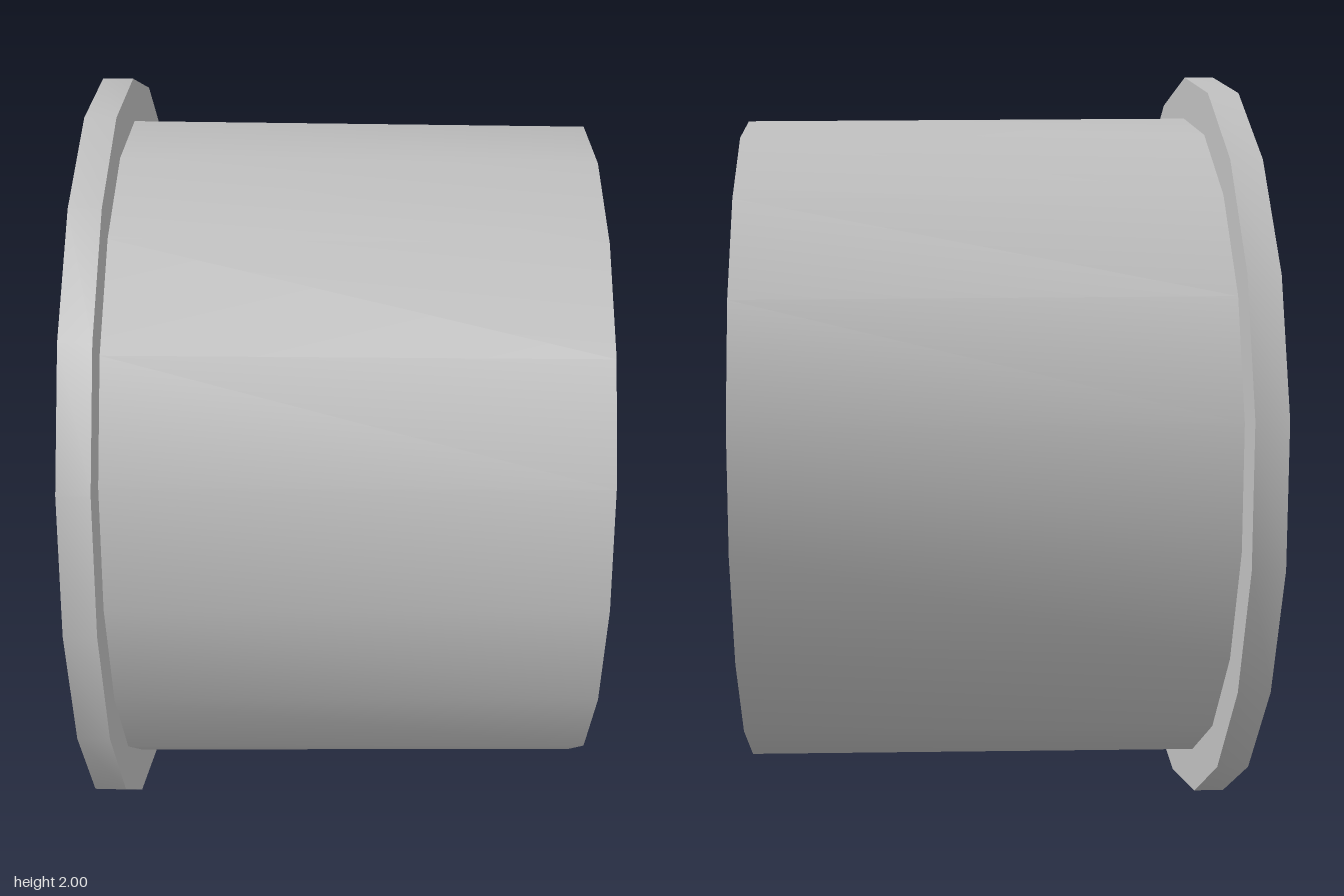
import * as THREE from 'three';
import { toCreasedNormals } from 'three/addons/utils/BufferGeometryUtils.js';

const grey = new THREE.MeshStandardMaterial({ color: 0xbfbfbf });
grey.name = 'plain grey';

// Point around the x axis: angle starts at +y and turns towards +z
const onRing = (x, r, angle) => new THREE.Vector3(x, r * Math.cos(angle), r * Math.sin(angle));

// Collects quads (corners counter-clockwise from outside) and makes a geometry
function quadBuilder() {
  const points = [];
  return {
    add(a, b, c, d) { points.push(a, b, c, a, c, d); },
    build() {
      const g = new THREE.BufferGeometry().setFromPoints(points);
      return toCreasedNormals(g, 0.75);
    },
  };
}

function named(name, geometry) {
  const mesh = new THREE.Mesh(geometry, grey);
  mesh.name = name;
  return mesh;
}

// Flanged duct: 18-sided outside, the bore narrowing to a 9-sided back opening
function ductGeometry() {
  const sides = 18;
  // x, radius, factor on odd corners (cos 20 degrees flattens the ring to 9 sides)
  const nine = Math.cos(Math.PI / 9);
  const rings = [
    [-0.645, 0.81, nine], [-0.645, 1, 1], [-0.565, 1, 1], [-0.565, 0.888, 1],
    [0.64, 0.878, 1], [0.6, 0.815, 1], [-0.645, 0.81, nine],
  ];
  const corner = ([x, r, f], j) =>
    onRing(x, j % 2 ? r * f : r, ((j % sides) / sides) * Math.PI * 2);
  const q = quadBuilder();
  for (let i = 0; i < rings.length - 1; i++) {
    for (let j = 0; j < sides; j++) {
      q.add(corner(rings[i], j), corner(rings[i], j + 1),
        corner(rings[i + 1], j + 1), corner(rings[i + 1], j));
    }
  }
  return q.build();
}

// Nine-sided hub with pointed nose, bored tip and a recessed slot in every third face
function hubGeometry() {
  const sides = 9;
  const profile = [
    [-0.56, 0.001], [-0.56, 0.17], [0.16, 0.17], [0.2, 0.162], [0.27, 0.125],
    [0.32, 0.088], [0.36, 0.055], [0.36, 0.028], [0.33, 0.028], [0.33, 0.001],
  ];
  const slotStart = 3, slotEnd = 4;
  const strips = [0, 0.24, 0.76, 1];
  const q = quadBuilder();
  for (let j = 0; j < sides; j++) {
    const a0 = (j / sides) * Math.PI * 2;
    const a1 = ((j + 1) / sides) * Math.PI * 2;
    const at = (i, t, depth = 1) => {
      const [x, r] = profile[i];
      return onRing(x, r * depth, a0).lerp(onRing(x, r * depth, a1), t);
    };
    for (let i = 0; i < profile.length - 1; i++) {
      for (let k = 0; k < 3; k++) {
        const t0 = strips[k], t1 = strips[k + 1];
        const slot = j % 3 === 1 && k === 1 && i >= slotStart && i <= slotEnd;
        if (!slot) {
          q.add(at(i, t0), at(i, t1), at(i + 1, t1), at(i + 1, t0));
          continue;
        }
        // slot floor, side walls and end walls
        const d = 0.78;
        q.add(at(i, t0, d), at(i, t1, d), at(i + 1, t1, d), at(i + 1, t0, d));
        q.add(at(i, t0), at(i, t0, d), at(i + 1, t0, d), at(i + 1, t0));
        q.add(at(i, t1, d), at(i, t1), at(i + 1, t1), at(i + 1, t1, d));
        if (i === slotStart) q.add(at(i, t0), at(i, t1), at(i, t1, d), at(i, t0, d));
        if (i === slotEnd) q.add(at(i + 1, t0, d), at(i + 1, t1, d), at(i + 1, t1), at(i + 1, t0));
      }
    }
  }
  return q.build();
}

// Flat vane with a forward-swept leading edge, running from hub to duct wall
function vaneGeometry() {
  const width = 0.074;
  const outline = [[-0.38, 0.13], [0.185, 0.13], [0.47, 0.806], [-0.29, 0.806]];
  const shape = new THREE.Shape(outline.map(([x, r]) => new THREE.Vector2(x, r)));
  const g = new THREE.ExtrudeGeometry(shape, { depth: width, bevelEnabled: false });
  return g.translate(0, 0, -width / 2);
}

export function createModel() {
  const model = new THREE.Group();
  model.name = 'ductWithHub';

  const assembly = new THREE.Group();
  assembly.name = 'assembly';
  assembly.position.y = 1;
  model.add(assembly);

  assembly.add(named('flangedDuct', ductGeometry()));
  assembly.add(named('hub', hubGeometry()));

  // Three vanes, one upright
  const vane = vaneGeometry();
  for (let i = 0; i < 3; i++) {
    const mesh = named('vane', vane);
    mesh.rotation.x = (i / 3) * Math.PI * 2;
    assembly.add(mesh);
  }
  return model;
}
